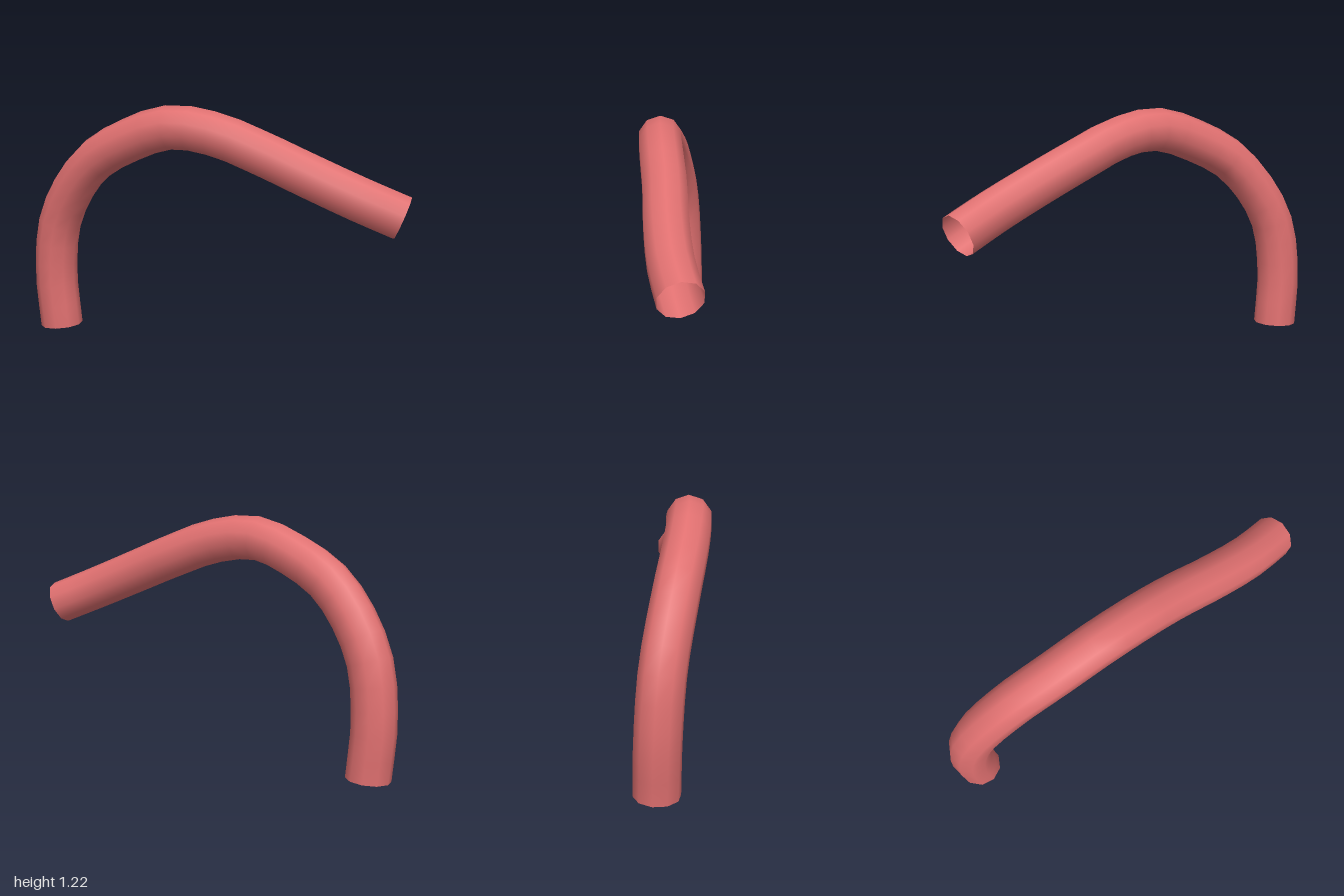
import * as THREE from 'three';

export function createModel() {
  const group = new THREE.Group();

  // Centre line: rises from the floor, bends over and slopes down to the free end
  const path = new THREE.CatmullRomCurve3([
    [-0.868, 0, -0.175],
    [-0.89, 0.3, -0.171],
    [-0.845, 0.6, -0.142],
    [-0.65, 0.895, -0.055],
    [-0.42, 1.035, 0.018],
    [-0.2, 1.107, 0.068],
    [0.03, 1.08, 0.098],
    [0.25, 1.0, 0.119],
    [0.5, 0.895, 0.153],
    [0.75, 0.79, 0.173],
    [0.955, 0.706, 0.165],
  ].map(p => new THREE.Vector3(...p)));

  // Open-ended pipe, visible inside and out
  const pipe = new THREE.Mesh(
    new THREE.TubeGeometry(path, 24, 0.111, 10, false),
    new THREE.MeshStandardMaterial({ color: 0xe07070, side: THREE.DoubleSide })
  );
  pipe.name = 'bentPipe';
  group.add(pipe);
  return group;
}
